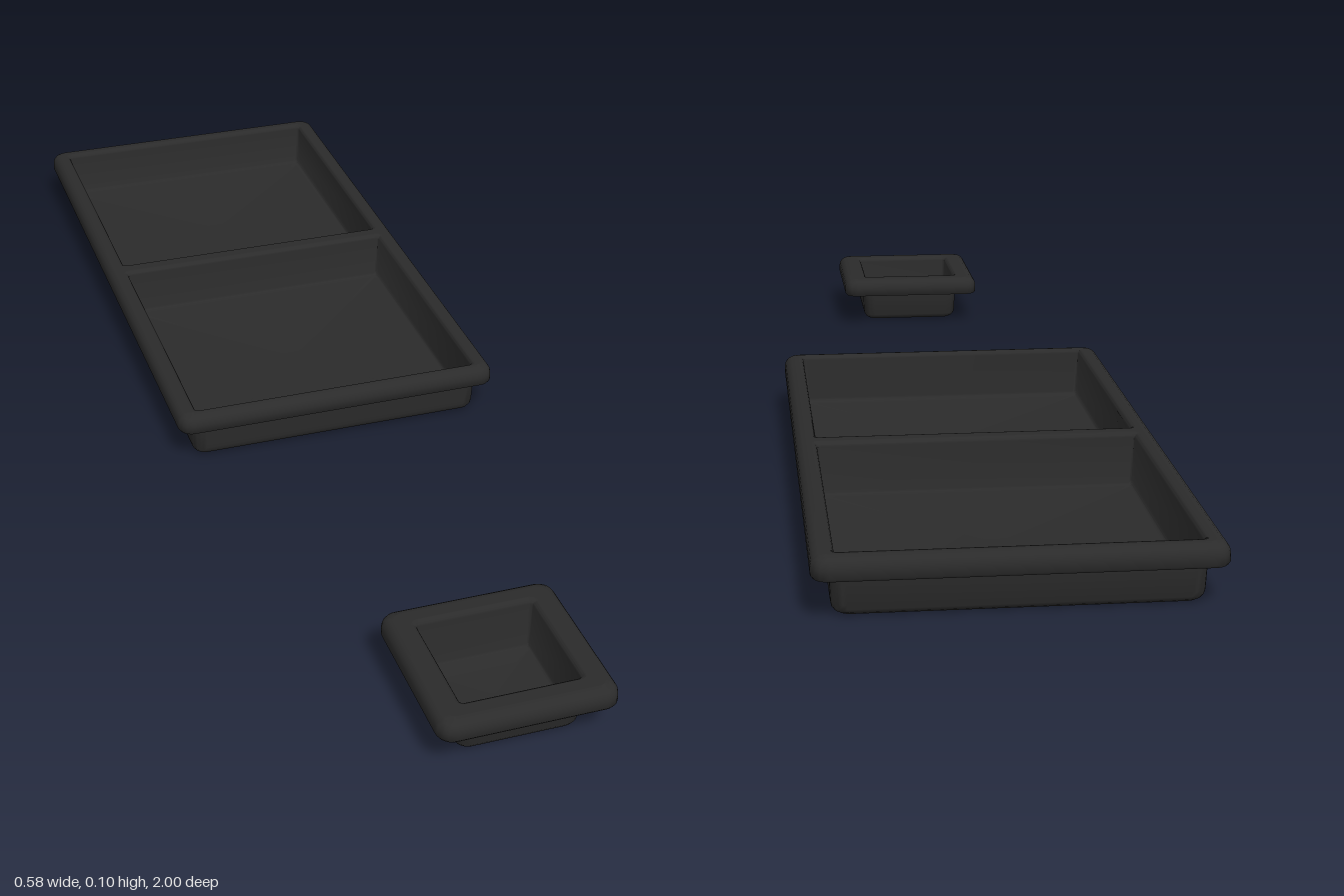
import * as THREE from 'three';
import { toCreasedNormals } from 'three/addons/utils/BufferGeometryUtils.js';

const LIP = 0.062, TOP = 0.096, FLOOR = 0.008;

// Rounded rectangle in x and z, moved inward by `inset`
function ring({ x0, x1, z0, z1 }, inset, radius) {
  const hx = Math.max((x1 - x0) / 2 - inset, 0), hz = Math.max((z1 - z0) / 2 - inset, 0);
  const r = Math.min(radius, hx, hz), cx = (x0 + x1) / 2, cz = (z0 + z1) / 2, pts = [];
  for (let q = 0; q < 4; q++) {
    const sx = q === 0 || q === 3 ? 1 : -1, sz = q < 2 ? 1 : -1;
    for (let i = 0; i <= 6; i++) {
      const a = (q + i / 6) * Math.PI / 2;
      pts.push(new THREE.Vector2(cx + sx * (hx - r) + r * Math.cos(a), cz + sz * (hz - r) + r * Math.sin(a)));
    }
  }
  return pts;
}

// Skin over rings given as [inset, y, corner radius]; rising rings face outward
function loft(rect, profile) {
  const pos = [], idx = [];
  let n = 0;
  profile.forEach(([inset, y, r]) => {
    const pts = ring(rect, inset, r);
    n = pts.length;
    pts.forEach(p => pos.push(p.x, y, p.y));
  });
  for (let k = 0; k < profile.length - 1; k++) {
    for (let i = 0; i < n; i++) {
      const a = k * n + i, b = k * n + (i + 1) % n;
      idx.push(a, a + n, b, b, a + n, b + n);
    }
  }
  const g = new THREE.BufferGeometry();
  g.setAttribute('position', new THREE.Float32BufferAttribute(pos, 3));
  g.setIndex(idx);
  return toCreasedNormals(g, 0.7);
}

// Flat face with holes, facing up (1) or down (-1)
function plate(outer, holes, y, facing) {
  const flip = pts => pts.map(p => new THREE.Vector2(p.x, -facing * p.y));
  const shape = new THREE.Shape(flip(outer));
  shape.holes = holes.map(h => new THREE.Path(flip(h)));
  return new THREE.ShapeGeometry(shape).rotateX(-facing * Math.PI / 2).translate(0, y, 0);
}

// Quarter-round steps: [inset, y offset] from a wall (0, r) to a flat (r, 0)
const fillet = r => [0, 1, 2, 3, 4].map(i => {
  const a = i / 4 * Math.PI / 2;
  return [r * (1 - Math.cos(a)), r * (1 - Math.sin(a))];
});

function tray(name, rim, basins, cavities, material) {
  const group = new THREE.Group();
  group.name = name;
  const add = (part, geometry) => {
    const mesh = new THREE.Mesh(geometry, material);
    mesh.name = part;
    group.add(mesh);
  };

  // Rim edge, slightly eased below and round above
  const edge = 0.018;
  add('rimEdge', loft(rim, [[0.003, LIP, 0.022], [0, LIP + 0.004, 0.025],
    ...fillet(edge).map(([d, h]) => [d, TOP - h, 0.025 - d * 0.7])]));

  // Rounded mouth, wall and floor of each cavity
  const mouth = 0.008;
  cavities.forEach(c => add('cavity', loft(c, [
    ...fillet(mouth).reverse().map(([d, h]) => [d - mouth, TOP - h, 0.014 - d]).map(
      ([d, y, r]) => [-(mouth + d), y, r]).reverse().map(([d, y, r], i, all) => {
      const a = (1 - i / (all.length - 1)) * Math.PI / 2;
      return [-mouth * (1 - Math.cos(a)), TOP - mouth * (1 - Math.sin(a)), 0.006 + mouth * (1 - Math.cos(a))];
    }),
    ...fillet(0.008).map(([d, h]) => [0.002 + d, FLOOR + h, 0.008]),
    [1, FLOOR, 0]])));
  add('rimTop', plate(ring(rim, edge, 0.025 - edge * 0.7),
    cavities.map(c => ring(c, -mouth, 0.006 + mouth)), TOP, 1));

  // Outer shell of each basin with a rounded base
  basins.forEach(b => add('basin', loft(b, [[1, 0, 0],
    ...fillet(0.018).reverse().map(([d, h]) => [0.002 + d, h, 0.022 - d * 0.5]),
    [0, LIP, 0.022]])));
  add('rimUnderside', plate(ring(rim, 0.003, 0.022), basins.map(b => ring(b, 0, 0.022)), LIP, -1));
  return group;
}

export function createModel() {
  const charcoal = new THREE.MeshStandardMaterial({ color: 0x2b2b2b });
  charcoal.name = 'charcoal';
  const box = (hx, z0, z1) => ({ x0: -hx, x1: hx, z0, z1 });
  const model = new THREE.Group();
  model.name = 'trays';
  model.add(
    tray('doubleTray', box(0.29, -1, 0.12),
      [box(0.264, -0.974, -0.449), box(0.264, -0.431, 0.094 + 0.008)],
      [box(0.256, -0.966, -0.457), box(0.256, -0.423, 0.092)], charcoal),
    tray('smallTray', box(0.14, 0.72, 1),
      [box(0.1, 0.76, 0.96)], [box(0.094, 0.766, 0.954)], charcoal));
  return model;
}
